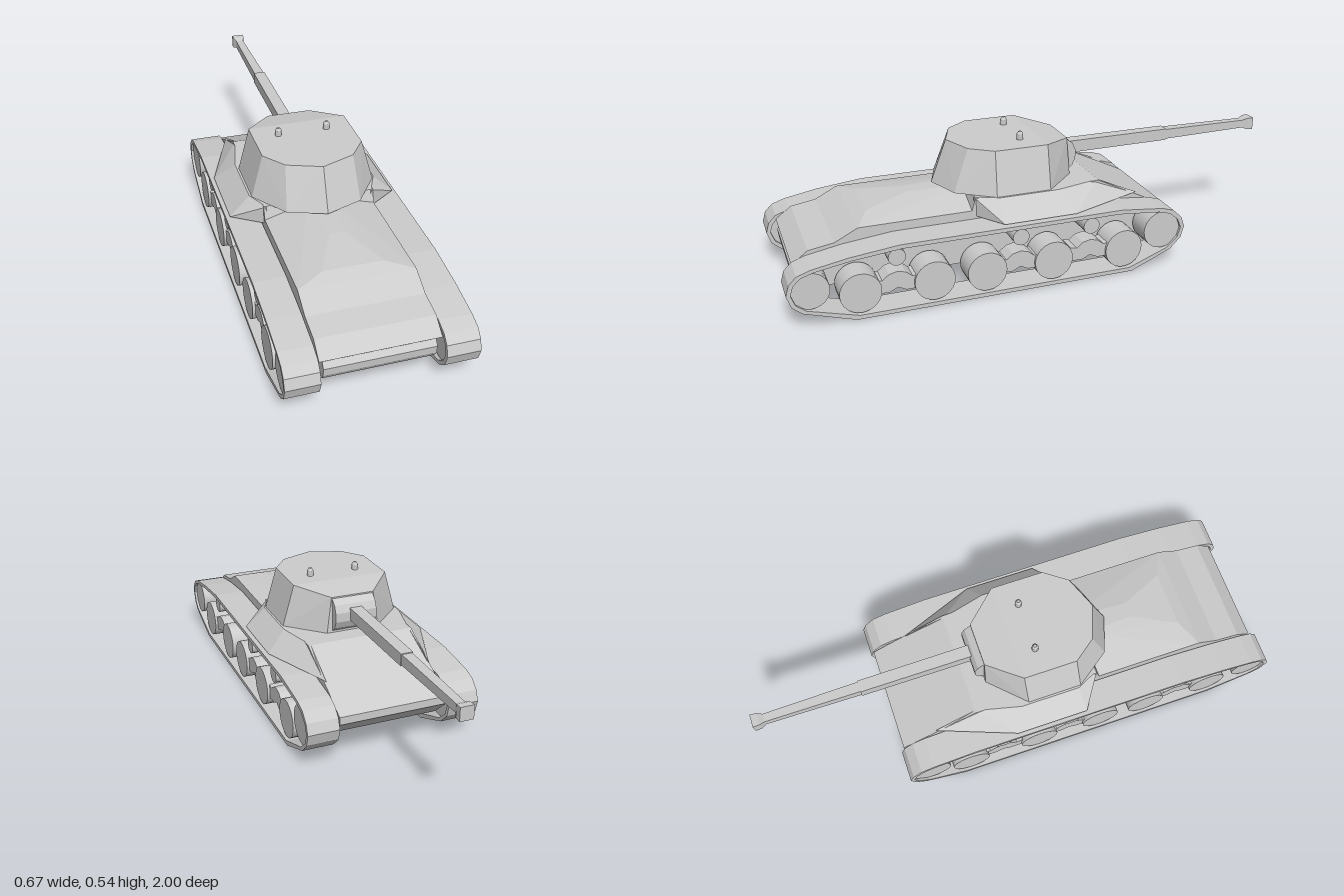
import * as THREE from 'three';
import { ConvexGeometry } from 'three/addons/geometries/ConvexGeometry.js';

const mat = new THREE.MeshStandardMaterial({ color: 0xcccccc });
const flat = new THREE.MeshStandardMaterial({ color: 0xcccccc, flatShading: true });

// Adds a named mesh to a parent
function add(parent, name, geo, x = 0, y = 0, z = 0, material = flat) {
  const m = new THREE.Mesh(geo, material);
  m.name = name;
  m.position.set(x, y, z);
  parent.add(m);
  return m;
}

const toV2 = pts => pts.map(([z, y]) => new THREE.Vector2(z, y));

// Extrudes a (z, y) side profile across x, centred on x = 0
function sideExtrude(pts, width, hole) {
  const shape = new THREE.Shape(toV2(pts));
  if (hole) shape.holes.push(new THREE.Path(toV2(hole)));
  const g = new THREE.ExtrudeGeometry(shape, { depth: width, bevelEnabled: false });
  return g.translate(0, 0, -width / 2).rotateY(-Math.PI / 2);
}

// Convex solid from points; mirrored also adds each point at -x
function solid(pts, mirrored = true) {
  const v = [];
  for (const [x, y, z] of pts) {
    v.push(new THREE.Vector3(x, y, z));
    if (mirrored && x !== 0) v.push(new THREE.Vector3(-x, y, z));
  }
  return new ConvexGeometry(v);
}

const disc = (r, w, n = 24) => new THREE.CylinderGeometry(r, r, w, n).rotateZ(Math.PI / 2);

// Square section of barrel between two z positions
function squareTube(w0, w1, z0, z1) {
  const g = new THREE.CylinderGeometry(w1 / Math.SQRT2, w0 / Math.SQRT2, z0 - z1, 4);
  return g.rotateY(Math.PI / 4).rotateX(-Math.PI / 2).translate(0, 0, (z0 + z1) / 2);
}

function makeHull() {
  const hull = new THREE.Group();
  hull.name = 'hull';
  add(hull, 'hullBody', sideExtrude([
    [0.88, 0.09], [0.9, 0.178], [0.96, 0.19], [0.9, 0.235], [0.805, 0.25], [0.72, 0.292],
    [0.3, 0.292], [0.285, 0.343], [-0.205, 0.343], [-0.505, 0.195], [-0.505, 0.165], [-0.42, 0.09],
  ], 0.42));
  // Rounded plate under the overhanging lip
  add(hull, 'endPlate', sideExtrude([
    [0.8, 0.09], [0.8, 0.175], [0.945, 0.175], [0.96, 0.155], [0.957, 0.125], [0.945, 0.105], [0.92, 0.09],
  ], 0.39));
  // Deck rising to a flat ridge in the middle
  add(hull, 'engineDeck', solid([
    [0.21, 0.293, 0.28], [0.04, 0.335, 0.28], [0.03, 0.33, 0.5], [0.11, 0.312, 0.67],
    [0.21, 0.293, 0.72], [0.21, 0.25, 0.805], [0.21, 0.25, 0.28],
  ]));
  // Flared sponsons beside the turret
  for (const s of [1, -1]) {
    add(hull, s > 0 ? 'leftSponson' : 'rightSponson', solid([
      [0.2, 0.343, 0.29], [0.243, 0.343, 0.2], [0.243, 0.343, -0.03], [0.2, 0.343, -0.205],
      [0.2, 0.27, 0.29], [0.32, 0.27, 0.21], [0.32, 0.27, -0.07], [0.205, 0.27, -0.37],
    ].map(([x, y, z]) => [s * x, y, z]), false));
  }
  return hull;
}

function makeTrack(side) {
  const g = new THREE.Group();
  g.name = side > 0 ? 'leftTrack' : 'rightTrack';
  const x = side * 0.274;
  const outline = [
    [0.765, 0], [0.95, 0.06], [0.985, 0.09], [1, 0.135], [0.988, 0.175], [0.96, 0.203], [0.91, 0.22],
    [0.78, 0.243], [0.6, 0.262], [-0.25, 0.262], [-0.42, 0.243], [-0.468, 0.228], [-0.503, 0.195],
    [-0.518, 0.155], [-0.505, 0.11], [-0.46, 0.066], [-0.3, 0],
  ];
  // Inner edge is the outline shrunk about its centre
  const inner = outline.map(([z, y]) => [0.241 + (z - 0.241) * 0.98, 0.131 + (y - 0.131) * 0.88]);
  add(g, 'trackBand', sideExtrude(outline, 0.12, inner), x);

  add(g, 'endWheel', disc(0.068, 0.1), x, 0.135, 0.917, mat);
  add(g, 'driveWheel', disc(0.075, 0.1), x, 0.15, -0.426, mat);
  for (const z of [0.745, 0.477, 0.28, 0.02, -0.267]) {
    add(g, 'roadWheel', disc(0.075, 0.1), x, 0.095, z, mat);
  }
  // Suspension arms with return rollers above
  for (const z of [0.611, 0.15, -0.13]) {
    add(g, 'returnRoller', disc(0.032, 0.1, 16), x, 0.212, z, mat);
    add(g, 'suspensionArm', sideExtrude([
      [-0.08, 0.075], [-0.03, 0.075], [0, 0.09], [0.03, 0.075], [0.08, 0.075], [0.08, 0.13],
      [0.055, 0.125], [0.03, 0.145], [0, 0.152], [-0.03, 0.145], [-0.055, 0.125], [-0.08, 0.13],
    ], 0.08), x, 0, z);
  }
  return g;
}

function makeTurret() {
  const t = new THREE.Group();
  t.name = 'turret';
  add(t, 'turretShell', solid([
    [0, 0.343, 0.395], [0.14, 0.343, 0.345], [0.235, 0.343, 0.21], [0.235, 0.343, 0], [0.105, 0.343, -0.13],
    [0, 0.505, 0.333], [0.127, 0.505, 0.285], [0.19, 0.505, 0.2], [0.19, 0.505, -0.005], [0.085, 0.483, -0.125],
  ]));
  // Curved gun shield
  add(t, 'mantlet', sideExtrude([
    [-0.08, 0.347], [-0.08, 0.48], [-0.125, 0.478], [-0.15, 0.458], [-0.163, 0.43],
    [-0.163, 0.395], [-0.15, 0.367], [-0.125, 0.347],
  ], 0.165));
  // Stepped square barrel
  const gun = new THREE.Group();
  gun.name = 'gun';
  gun.position.y = 0.42;
  add(gun, 'barrelBase', squareTube(0.048, 0.046, -0.15, -0.59));
  add(gun, 'barrel', squareTube(0.04, 0.032, -0.58, -0.955));
  add(gun, 'muzzleFlare', squareTube(0.032, 0.048, -0.955, -0.975));
  add(gun, 'muzzle', squareTube(0.048, 0.05, -0.975, -1));
  t.add(gun);
  // Roof periscopes
  const profile = [[0, 0], [0.0125, 0], [0.0125, 0.022], [0.006, 0.032], [0, 0.032]];
  for (const s of [1, -1]) {
    add(t, 'periscope', new THREE.LatheGeometry(toV2(profile), 12), s * 0.094, 0.504, 0.07);
  }
  return t;
}

export function createModel() {
  const model = new THREE.Group();
  model.name = 'tank';
  model.add(makeHull(), makeTrack(1), makeTrack(-1), makeTurret());
  return model;
}
